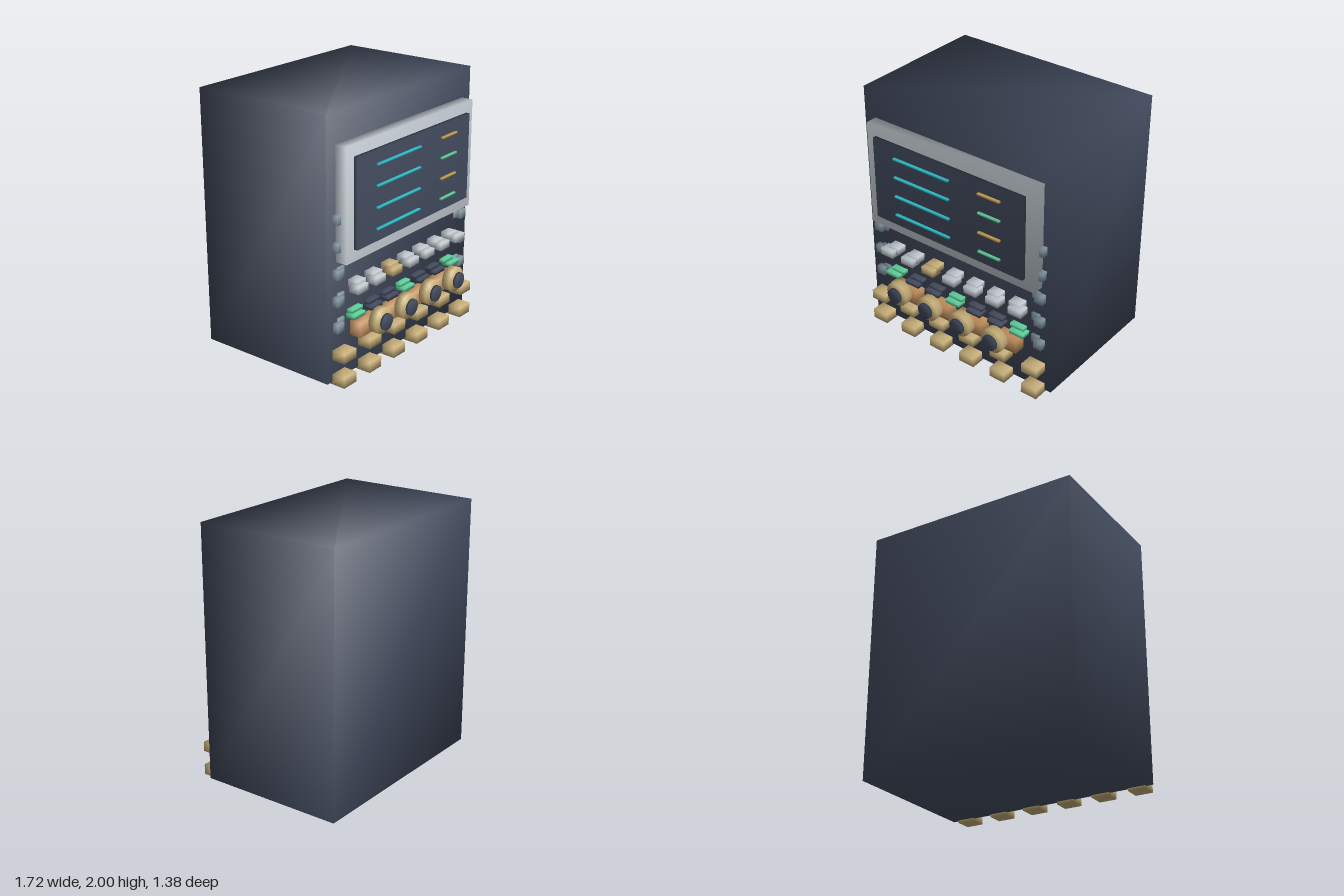
import * as THREE from 'three';
import { mergeVertices } from 'three/addons/utils/BufferGeometryUtils.js';

const mat = (name, color) => new THREE.MeshStandardMaterial({ name, color });

// Shared corners give the soft shading across edges
function soften(geometry) {
  geometry.deleteAttribute('normal');
  geometry.deleteAttribute('uv');
  const merged = mergeVertices(geometry);
  merged.computeVertexNormals();
  return merged;
}

export function createModel() {
  const navy = mat('navy', 0x424b5e);
  const silver = mat('silver', 0xc6ced5);
  const tan = mat('tan', 0xcdb47c);
  const copper = mat('copper', 0xca9662);
  const green = mat('green', 0x5fd09c);
  const cyan = mat('cyan', 0x30c0cc);
  const steel = mat('steel blue', 0x8496a4);
  const amber = mat('amber', 0xc8a050);

  const model = new THREE.Group();
  model.name = 'controlConsole';

  // Box given by centre x, width, and y and z ranges
  function block(name, material, x, width, y0, y1, z0, z1) {
    const mesh = new THREE.Mesh(soften(new THREE.BoxGeometry(width, y1 - y0, z1 - z0)), material);
    mesh.position.set(x, (y0 + y1) / 2, (z0 + z1) / 2);
    mesh.name = name;
    model.add(mesh);
  }

  // Disc facing the front
  function disc(name, material, x, y, radius, z0, z1) {
    const geometry = new THREE.CylinderGeometry(radius, radius, z1 - z0, 20).rotateX(Math.PI / 2);
    const mesh = new THREE.Mesh(soften(geometry), material);
    mesh.position.set(x, y, (z0 + z1) / 2);
    mesh.name = name;
    model.add(mesh);
  }

  // Cabinet, display surround and display
  block('cabinet', navy, 0, 1.724, 0.02, 2, -0.69, 0.462);
  block('displayFrame', silver, 0, 1.524, 0.93, 1.775, 0.45, 0.556);
  block('screen', navy, 0, 1.36, 1.02, 1.69, 0.55, 0.586);

  // Readout lines
  [1.59, 1.435, 1.275, 1.117].forEach((y, i) => {
    block('readoutLine', cyan, -0.22, 0.51, y - 0.008, y + 0.008, 0.588, 0.608);
    block('statusLine', i % 2 ? green : amber, 0.395, 0.19, y - 0.008, y + 0.008, 0.588, 0.608);
  });

  // Side keys: an outer and an inner column on each side
  for (const side of [-1, 1]) {
    for (const y of [1.25, 1.048, 0.845, 0.64, 0.44]) {
      block('sideKey', steel, side * 0.762, 0.072, y - 0.034, y + 0.034, 0.44, 0.508);
    }
    for (const y of [0.853, 0.657, 0.465]) {
      block('innerSideKey', steel, side * 0.72, 0.064, y - 0.032, y + 0.032, 0.43, 0.48);
    }
  }

  // Two stepped rows of seven keys, each with a layer behind
  for (let i = -3; i <= 3; i++) {
    const upper = i === -1 ? tan : silver;
    block('upperKey', upper, i * 0.203, 0.115, 0.68, 0.737, 0.5, 0.586);
    block('upperKeyBase', upper, i * 0.193, 0.1, 0.7, 0.755, 0.45, 0.545);
    const lower = i % 3 === 0 ? green : navy;
    block('lowerKey', lower, i * 0.2, 0.127, 0.474, 0.505, 0.47, 0.547);
    block('lowerKeyBase', lower, i * 0.192, 0.122, 0.5, 0.53, 0.44, 0.508);
  }

  // Knobs over copper blocks
  for (let i = -1.5; i <= 1.5; i++) {
    block('knobBlock', copper, i * 0.319, 0.255, 0.315, 0.427, 0.44, 0.556);
    disc('knob', tan, i * 0.308, 0.427, 0.099, 0.593, 0.656);
    disc('knobCap', navy, i * 0.308, 0.427, 0.063, 0.67, 0.69);
  }

  // Two rows of port keys
  for (let i = -2.5; i <= 2.5; i++) {
    block('portKey', tan, i * 0.295, 0.138, 0.193, 0.267, 0.44, 0.57);
    block('lowerPortKey', tan, i * 0.295, 0.138, 0, 0.08, 0.44, 0.57);
  }

  return model;
}
